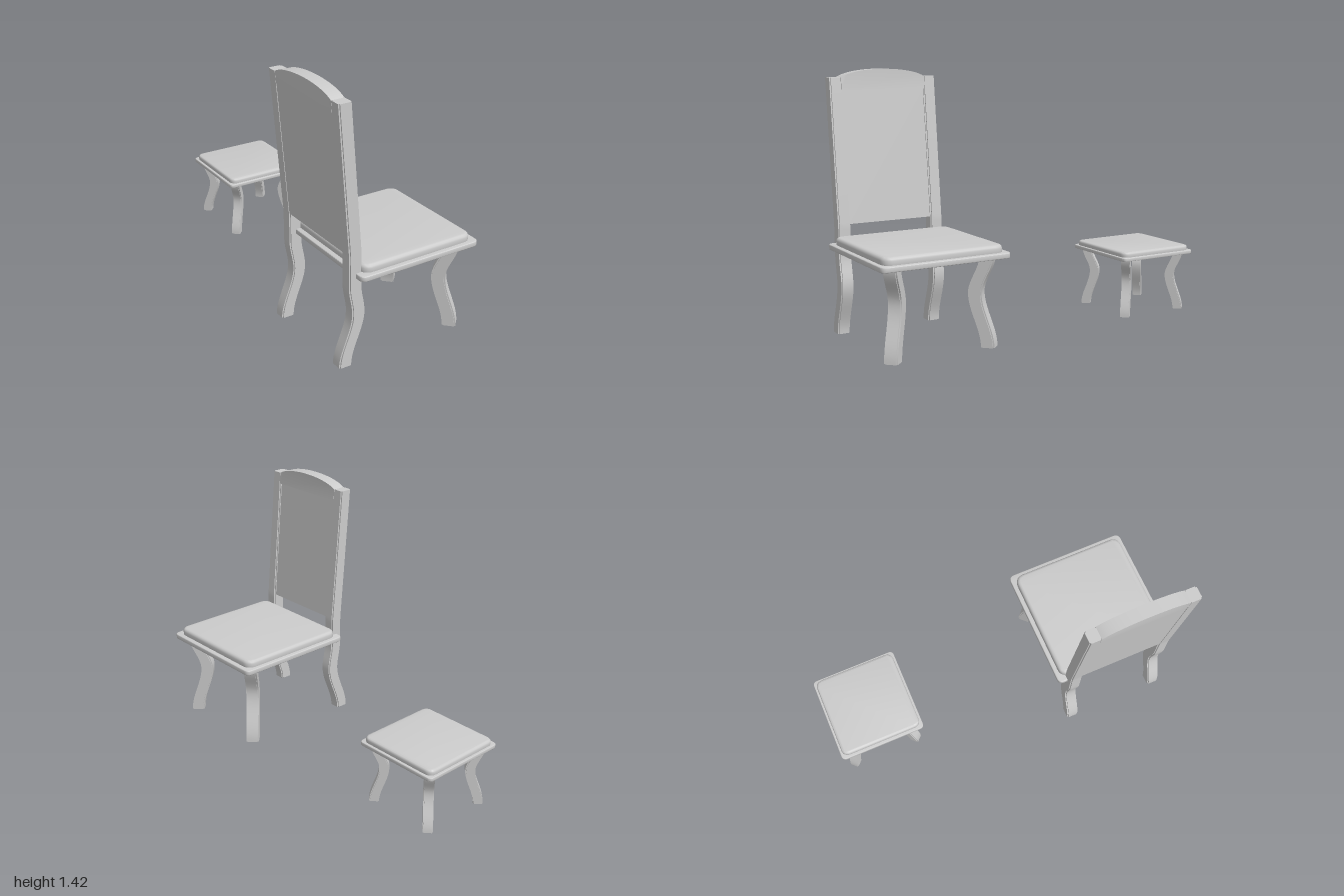
import * as THREE from 'three';
import { toCreasedNormals } from 'three/addons/utils/BufferGeometryUtils.js';

const material = new THREE.MeshStandardMaterial({ color: 0xcccccc });

function addMesh(parent, name, geometry, crease = 0.6) {
  const mesh = new THREE.Mesh(toCreasedNormals(geometry, crease), material);
  mesh.name = name;
  parent.add(mesh);
  return mesh;
}

// Smooth interpolation through [height, offset] keys; straight after the third key
function bend(keys, y) {
  let i = 0;
  while (i < keys.length - 2 && y > keys[i + 1][0]) i++;
  const [y0, a] = keys[i], [y1, b] = keys[i + 1];
  const t = THREE.MathUtils.clamp((y - y0) / (y1 - y0), 0, 1);
  return a + (b - a) * (i < 2 ? t * t * (3 - 2 * t) : t);
}

// Shift every vertex sideways in x according to its height
function bendGeometry(geometry, keys) {
  const p = geometry.attributes.position;
  for (let i = 0; i < p.count; i++) p.setX(i, p.getX(i) + bend(keys, p.getY(i)));
  return geometry;
}

// Vertical bar with stepped corners, bent along the keys
function mouldedBar(hx, hz, step, y0, y1, keys, steps) {
  const points = [];
  for (const [sx, sz] of [[1, 1], [-1, 1], [-1, -1], [1, -1]]) {
    const corner = [
      [sx * hx, sz * (hz - step)],
      [sx * (hx - step), sz * (hz - step)],
      [sx * (hx - step), sz * hz],
    ];
    if (sx * sz < 0) corner.reverse();
    points.push(...corner.map(([x, z]) => new THREE.Vector2(x, z)));
  }
  const g = new THREE.ExtrudeGeometry(new THREE.Shape(points), { depth: y1 - y0, steps, bevelEnabled: false });
  g.rotateX(-Math.PI / 2).translate(0, y0, 0);
  return bendGeometry(g, keys);
}

// Horizontal rounded square slab with bevelled edges
function slab(w, d, r, y0, y1, bevel, bottomBevel) {
  const x = w / 2 - bevel, z = d / 2 - bevel;
  const s = new THREE.Shape();
  s.moveTo(-x + r, -z).lineTo(x - r, -z).quadraticCurveTo(x, -z, x, -z + r)
    .lineTo(x, z - r).quadraticCurveTo(x, z, x - r, z)
    .lineTo(-x + r, z).quadraticCurveTo(-x, z, -x, z - r)
    .lineTo(-x, -z + r).quadraticCurveTo(-x, -z, -x + r, -z);
  const g = new THREE.ExtrudeGeometry(s, {
    depth: y1 - y0 - bevel - bottomBevel, bevelEnabled: true,
    bevelSize: bevel, bevelThickness: bevel, bevelSegments: 3, curveSegments: 6,
  });
  return g.rotateX(-Math.PI / 2).translate(0, y0 + bottomBevel, 0);
}

// Curved leg whose bend runs along the diagonal of the seat
function addDiagonalLeg(parent, name, sx, sz, foot, half, step, y0, y1, swing) {
  const keys = [[y0, 0], [y0 + (y1 - y0) * 0.6, -swing], [y1, -swing * 0.1]];
  const leg = addMesh(parent, name, mouldedBar(half, half, step, y0, y1, keys, 24));
  leg.position.set(sx * foot, 0, sz * foot);
  leg.rotation.y = Math.atan2(-sz, sx);
}

// Backrest board in the z-y plane: thickness runs along x, then leans with the posts
function backBoard(shape, xBack, xFront, keys) {
  const g = new THREE.ExtrudeGeometry(shape, { depth: xFront - xBack, bevelEnabled: false, curveSegments: 20 });
  g.rotateY(Math.PI / 2).translate(xBack, 0, 0);
  return bendGeometry(g, keys);
}

function createChair() {
  const chair = new THREE.Group();
  chair.name = 'chair';
  chair.position.set(0.057, 0, 0.643);

  // Seat and cushion
  addMesh(chair, 'seatBoard', slab(0.715, 0.714, 0.03, 0.48, 0.508, 0.004, 0.004));
  addMesh(chair, 'seatCushion', slab(0.66, 0.665, 0.035, 0.49, 0.547, 0.018, 0.018));

  // Front legs
  for (const s of [1, -1]) {
    addDiagonalLeg(chair, s > 0 ? 'frontLegRight' : 'frontLegLeft', 1, s, 0.27, 0.036, 0.007, 0.01, 0.485, 0.068);
  }

  // Back legs running up into the backrest posts
  const back = new THREE.Group();
  back.name = 'backrest';
  back.position.x = -0.057;
  chair.add(back);
  const lean = [[0, -0.349], [0.28, -0.277], [0.44, -0.3], [0.6, -0.302], [1.38, -0.377]];
  for (const s of [1, -1]) {
    const post = addMesh(back, s > 0 ? 'backPostRight' : 'backPostLeft',
      mouldedBar(0.036, 0.034, 0.007, 0, 1.38, lean, 69));
    post.position.z = s * 0.271;
  }

  // Recessed panel, open above the seat
  const w = 0.242;
  const panel = new THREE.Shape();
  panel.moveTo(-w, 0.605).lineTo(w, 0.605).lineTo(w, 1.32).lineTo(-w, 1.32).closePath();
  addMesh(back, 'backPanel', backBoard(panel, -0.034, 0.024, lean));

  // Arched top rail
  const rail = new THREE.Shape();
  rail.moveTo(-w, 1.315).lineTo(w, 1.315).lineTo(w, 1.38)
    .bezierCurveTo(0.15, 1.436, -0.15, 1.436, -w, 1.38).closePath();
  addMesh(back, 'topRail', backBoard(rail, -0.036, 0.036, lean));
  return chair;
}

function createStool() {
  const stool = new THREE.Group();
  stool.name = 'stool';
  stool.position.set(0.057, 0, -0.752);
  addMesh(stool, 'stoolBoard', slab(0.503, 0.496, 0.024, 0.35, 0.37, 0.003, 0.003));
  addMesh(stool, 'stoolCushion', slab(0.472, 0.47, 0.028, 0.355, 0.398, 0.013, 0.013));
  for (const sx of [1, -1]) for (const sz of [1, -1]) {
    addDiagonalLeg(stool, 'stoolLeg', sx, sz, 0.192, 0.026, 0.005, 0.02, 0.355, 0.05);
  }
  return stool;
}

export function createModel() {
  const group = new THREE.Group();
  group.name = 'chairAndStool';
  group.add(createChair(), createStool());
  return group;
}
